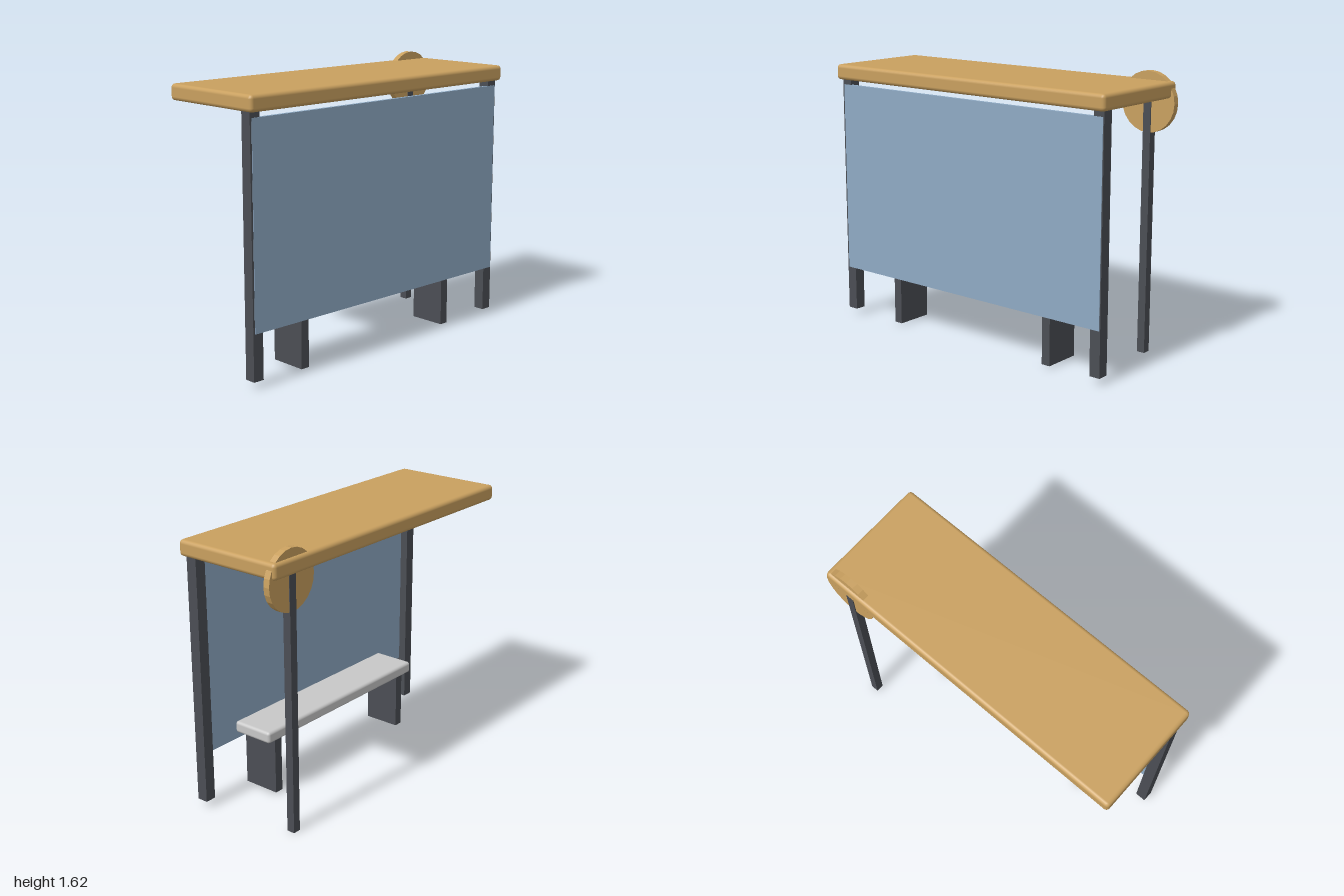
import * as THREE from 'three';
import { RoundedBoxGeometry } from 'three/addons/geometries/RoundedBoxGeometry.js';

const mat = (name, color) => {
  const m = new THREE.MeshStandardMaterial({ color });
  m.name = name;
  return m;
};

export function createModel() {
  const group = new THREE.Group();
  group.name = 'shelter';
  const wood = mat('ochre', 0xc9a05f);
  const metal = mat('darkMetal', 0x4b4e54);
  const panel = mat('bluePanel', 0x8faac4);
  const seat = mat('paleGrey', 0xc8c8c8);

  // Box given by its [min, max] on each axis; a radius rounds its edges
  function box(name, material, [x0, x1], [y0, y1], [z0, z1], radius = 0) {
    const size = [x1 - x0, y1 - y0, z1 - z0];
    const geometry = radius
      ? new RoundedBoxGeometry(...size, 2, radius)
      : new THREE.BoxGeometry(...size);
    const mesh = new THREE.Mesh(geometry, material);
    mesh.name = name;
    mesh.position.set((x0 + x1) / 2, (y0 + y1) / 2, (z0 + z1) / 2);
    group.add(mesh);
  }

  // Roof slab
  box('roof', wood, [-1, 0.975], [1.48, 1.572], [-0.34, 0.337], 0.022);

  // Wall posts and the panel fixed to them
  for (const [side, x] of [['right', -0.946], ['left', 0.92]])
    box(side + 'Post', metal, [x - 0.033, x + 0.033], [0.04, 1.5], [0.236, 0.302]);
  box('wallPanel', panel, [-0.968, 0.947], [0.305, 1.45], [0.284, 0.305]);

  // Bench
  box('benchSeat', seat, [-0.68, 0.657], [0.35, 0.42], [0.022, 0.283], 0.018);
  for (const [side, x] of [['right', -0.583], ['left', 0.561]])
    box(side + 'BenchLeg', metal, [x - 0.027, x + 0.027], [0.012, 0.36], [0.04, 0.266]);

  // Sign pole and round sign
  box('signPole', metal, [0.802, 0.85], [0, 1.5], [-0.327, -0.279]);
  const signWood = wood;
  const disc = new THREE.CylinderGeometry(0.171, 0.171, 0.038, 24).toNonIndexed();
  disc.computeVertexNormals();
  const sign = new THREE.Mesh(disc, signWood);
  sign.name = 'roundSign';
  sign.rotation.x = Math.PI / 2;
  sign.position.set(0.827, 1.45, -0.303);
  group.add(sign);

  return group;
}
